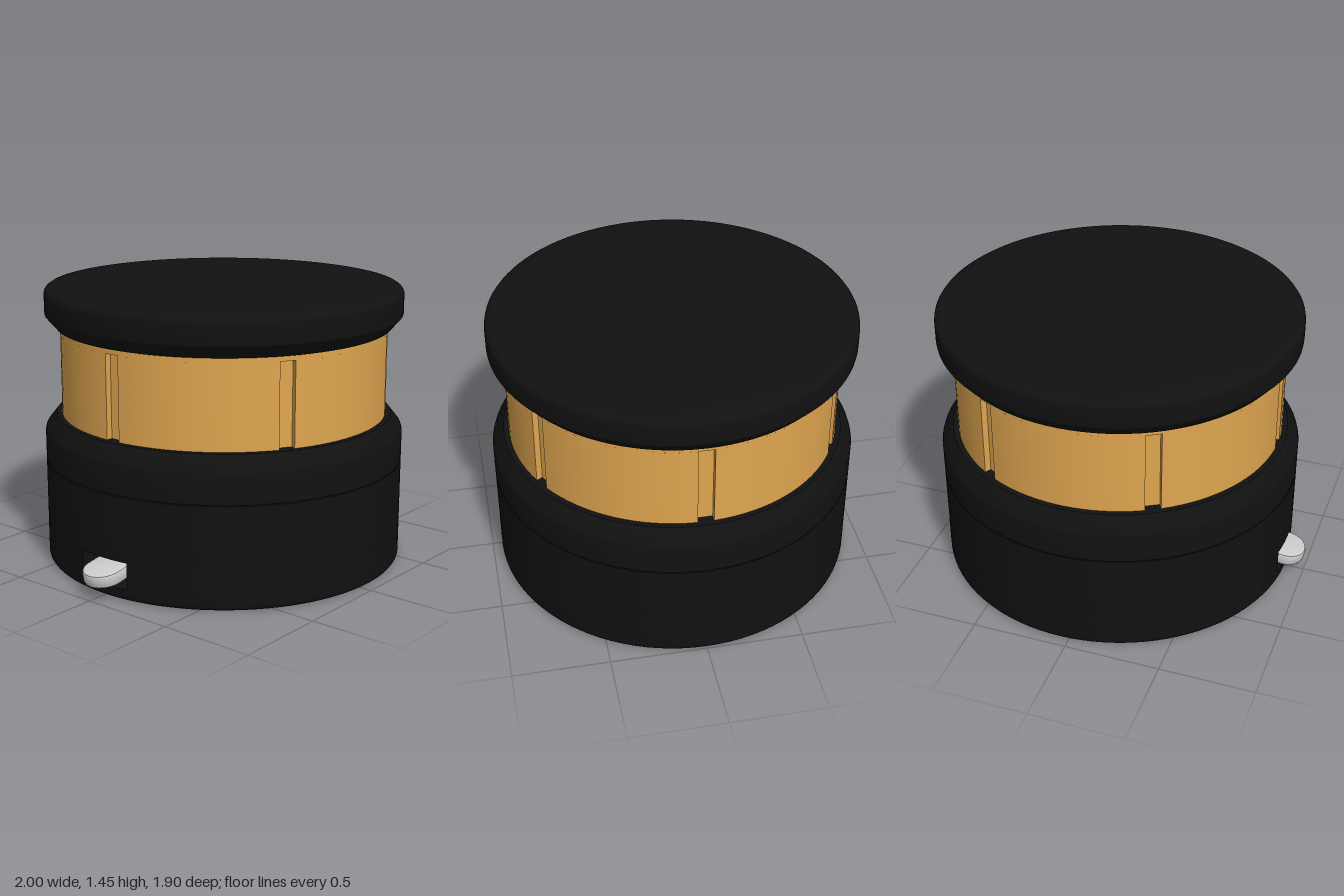
import * as THREE from 'three';
import { toCreasedNormals } from 'three/addons/utils/BufferGeometryUtils.js';

const SEGMENTS = 96;
const CENTRE_X = 0.05;

const black = new THREE.MeshStandardMaterial({ color: 0x111111 });
const brass = new THREE.MeshStandardMaterial({ color: 0xe0a650 });
const grey = new THREE.MeshStandardMaterial({ color: 0xcccccc });

function part(name, geometry, material) {
  const mesh = new THREE.Mesh(toCreasedNormals(geometry, 0.5), material);
  mesh.name = name;
  return mesh;
}

// Turned solid from [radius, height] pairs, bottom to top
function turned(profile) {
  return new THREE.LatheGeometry(profile.map(([r, y]) => new THREE.Vector2(r, y)), SEGMENTS);
}

// Quarter-round profile points between two angles
function round(cx, cy, r, from, to) {
  return Array.from({ length: 5 }, (_, i) => {
    const a = from + (to - from) * i / 4;
    return [cx + r * Math.cos(a), cy + r * Math.sin(a)];
  });
}

// Upright disc from y0 to y1 with evenly spaced straight-sided notches in its rim
function notchedDisc(radius, y0, y1, count, start, halfWidth, depth) {
  const pts = [];
  const step = Math.PI * 2 / count;
  const half = Math.asin(halfWidth / radius);
  const arcSteps = Math.round(SEGMENTS / count);
  for (let k = 0; k < count; k++) {
    const a = start + k * step;
    const c = Math.cos(a), s = Math.sin(a), inner = radius - depth;
    for (const w of [-halfWidth, halfWidth]) {
      pts.push(new THREE.Vector2(c * inner - s * w, s * inner + c * w));
    }
    for (let i = 0; i <= arcSteps; i++) {
      const t = a + half + (step - 2 * half) * i / arcSteps;
      pts.push(new THREE.Vector2(radius * Math.cos(t), radius * Math.sin(t)));
    }
  }
  const geo = new THREE.ExtrudeGeometry(new THREE.Shape(pts), { depth: y1 - y0, bevelEnabled: false });
  return geo.rotateX(-Math.PI / 2).translate(0, y0, 0);
}

export function createModel() {
  const model = new THREE.Group();
  model.name = 'roundContainer';
  const body = new THREE.Group();
  body.name = 'body';
  body.position.x = CENTRE_X;
  model.add(body);

  // Base: rounded foot, band with the lever slot, then wall with seam and chamfered rim
  body.add(part('baseFoot', turned([
    [0, 0], ...round(0.925, 0.025, 0.025, -Math.PI / 2, 0), [0.95, 0.06], [0, 0.06],
  ]), black));
  body.add(part('baseSlotBand', notchedDisc(0.95, 0.06, 0.2, 1, Math.PI, 0.15, 0.16), black));
  body.add(part('baseWall', turned([
    [0, 0.2], [0.95, 0.2], [0.95, 0.537], [0.915, 0.537], [0.915, 0.543],
    [0.95, 0.543], [0.95, 0.69], [0.944, 0.71], [0.888, 0.78], [0, 0.78],
  ]), black));

  // Brass drum with six grooves, closed by a plain ring under the lid
  body.add(part('grooveDrum', notchedDisc(0.86, 0.7, 1.215, 6, 0, 0.04, 0.035), brass));
  body.add(part('drumTopRing', turned([[0, 1.215], [0.86, 1.215], [0.86, 1.26], [0, 1.26]]), brass));

  // Lid with chamfered underside and rounded top edge
  body.add(part('lid', turned([
    [0, 1.245], [0.88, 1.245], [0.938, 1.312], [0.94, 1.325],
    ...round(0.905, 1.415, 0.035, 0, Math.PI / 2), [0, 1.45],
  ]), black));

  // Tilted round-ended lever reaching out of the slot
  const outline = new THREE.Shape();
  outline.moveTo(0.15, -0.09);
  outline.lineTo(0.15, 0.09);
  outline.lineTo(0, 0.09);
  outline.absarc(0, 0, 0.09, Math.PI / 2, Math.PI * 1.5, false);
  const leverGeo = new THREE.ExtrudeGeometry(outline, {
    depth: 0.04, bevelThickness: 0.015, bevelSize: 0.015, bevelSegments: 2, curveSegments: 20,
  });
  leverGeo.translate(0, 0, -0.02).rotateX(-Math.PI / 2);
  const lever = part('lever', leverGeo, grey);
  lever.position.set(-0.894, 0.117, 0);
  lever.rotation.z = 0.17;
  model.add(lever);

  return model;
}
